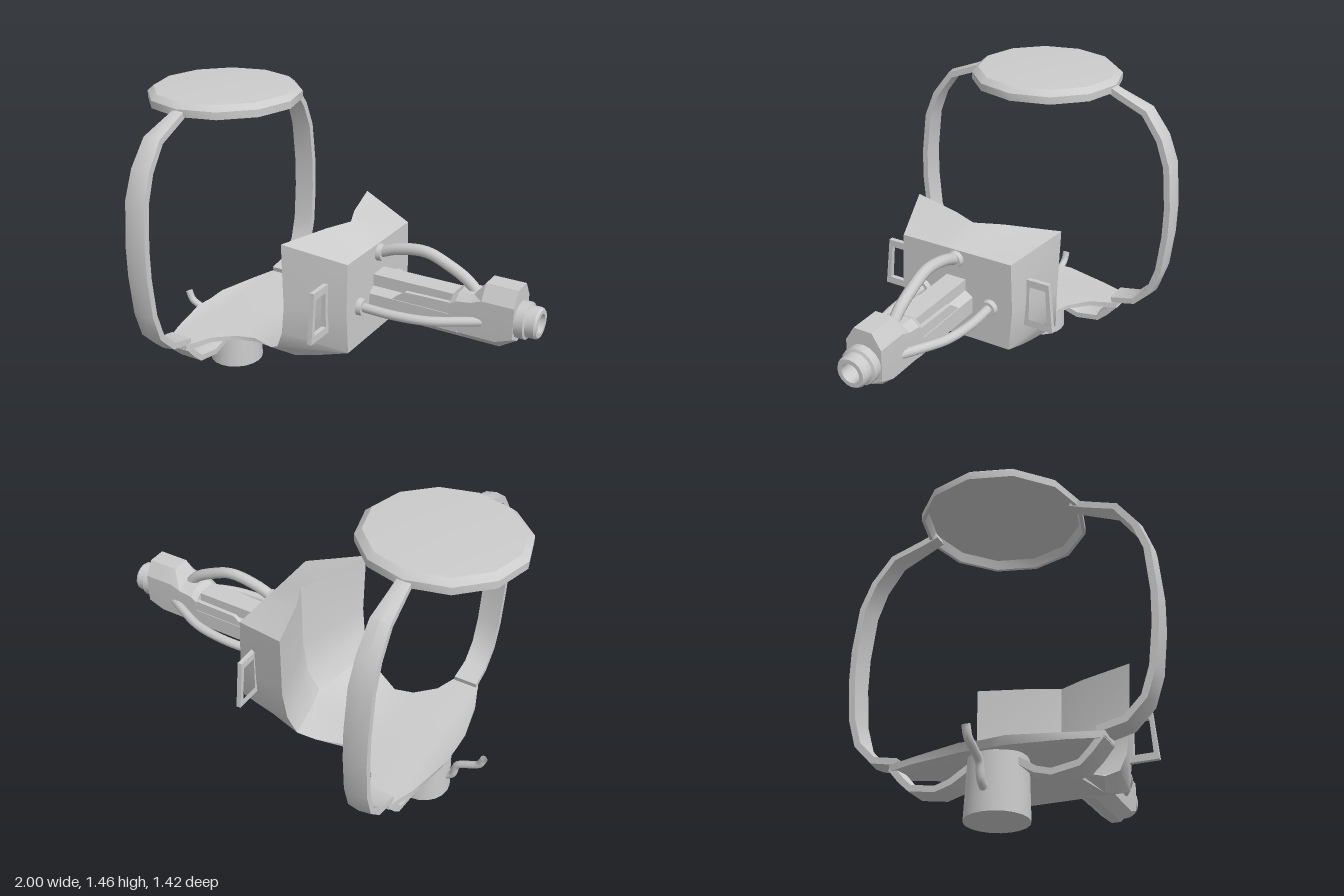
import * as THREE from 'three';
import { toCreasedNormals } from 'three/addons/utils/BufferGeometryUtils.js';

const material = new THREE.MeshStandardMaterial({ color: 0xcccccc });
const doubleMaterial = new THREE.MeshStandardMaterial({ color: 0xcccccc, side: THREE.DoubleSide });
const CX = -0.635; // axis of pedestal, arms and canopy

// Skin rings of equal length; each ring is two facing rows (there and back), so caps are strips
function loft(rings, crease = 0.6) {
  const n = rings[0].length, pos = rings.flat(2), idx = [];
  const quad = (a, b, c, d) => idx.push(a, b, c, a, c, d);
  for (let r = 0; r < rings.length - 1; r++)
    for (let i = 0; i < n; i++) {
      const j = (i + 1) % n;
      quad(r * n + i, r * n + j, (r + 1) * n + j, (r + 1) * n + i);
    }
  const last = (rings.length - 1) * n;
  for (let i = 0; i < n / 2 - 1; i++) {
    quad(n - 1 - i, n - 2 - i, i + 1, i);
    quad(last + i, last + i + 1, last + n - 2 - i, last + n - 1 - i);
  }
  // turn the faces outward
  const v = (k) => new THREE.Vector3().fromArray(pos, k * 3);
  let volume = 0;
  for (let i = 0; i < idx.length; i += 3) volume += v(idx[i]).dot(v(idx[i + 1]).cross(v(idx[i + 2])));
  if (volume < 0) idx.reverse();
  const g = new THREE.BufferGeometry();
  g.setAttribute('position', new THREE.Float32BufferAttribute(pos, 3));
  g.setIndex(idx);
  return toCreasedNormals(g, crease);
}

// Flat band following [z, y, halfWidth] points, side = +1 or -1
function band(points, thickness, side) {
  return loft(points.map(([z, y, h], i) => {
    const a = points[Math.max(i - 1, 0)], b = points[Math.min(i + 1, points.length - 1)];
    const len = Math.hypot(b[0] - a[0], b[1] - a[1]);
    const nz = -(b[1] - a[1]) / len, ny = (b[0] - a[0]) / len;
    const at = (dx, o) => [CX + dx, y + ny * o, side * (z + nz * o)];
    return [at(-h, 0), at(0, 0.008), at(h, 0), at(h, -thickness), at(0, -thickness), at(-h, -thickness)];
  }));
}

// Symmetric section along x, half outline given as [z, y] from top to bottom
const section = (x, half) => [
  ...half.map(([z, y]) => [x, y, z]),
  ...half.slice().reverse().map(([z, y]) => [x, y, -z]),
];

function pipe(points, radius) {
  const curve = new THREE.CatmullRomCurve3(points.map((p) => new THREE.Vector3(...p)));
  return new THREE.TubeGeometry(curve, 18, radius, 10);
}

export function createModel() {
  const model = new THREE.Group();
  const add = (name, geometry, mat = material) => {
    const mesh = new THREE.Mesh(geometry, mat);
    mesh.name = name;
    model.add(mesh);
    return mesh;
  };
  const lathe = (profile, sides) =>
    toCreasedNormals(new THREE.LatheGeometry(profile.map((p) => new THREE.Vector2(...p)), sides), 0.6);

  // Pedestal with a bent pipe at its back
  add('pedestal', new THREE.CylinderGeometry(0.125, 0.135, 0.26, 20)).position.set(CX, 0.13, 0);
  add('pedestalPipe', pipe([[-0.74, 0.09, 0], [-0.785, 0.12, 0], [-0.805, 0.19, 0], [-0.855, 0.22, 0],
    [-0.91, 0.25, 0], [-0.93, 0.295, 0]], 0.018), doubleMaterial);

  // Hollow canopy
  add('canopy', lathe([[0, 1.43], [0.335, 1.42], [0.35, 1.38], [0.365, 1.38], [0.365, 1.415],
    [0.335, 1.44], [0, 1.457]], 12), doubleMaterial).position.x = CX;

  // Floor sweeping up into the shield:
  // upper edge x, y, halfWidth | upper centre x, y | lower x, y, halfWidth
  const stations = [
    [-0.79, 0.29, 0.10, -0.79, 0.285, -0.775, 0.255, 0.10],
    [-0.74, 0.285, 0.33, -0.74, 0.275, -0.74, 0.255, 0.33],
    [-0.69, 0.29, 0.47, -0.69, 0.275, -0.69, 0.26, 0.47],
    [-0.58, 0.29, 0.47, -0.58, 0.275, -0.58, 0.26, 0.47],
    [-0.53, 0.285, 0.34, -0.53, 0.275, -0.53, 0.26, 0.34],
    [-0.44, 0.28, 0.255, -0.44, 0.275, -0.44, 0.26, 0.255],
    [-0.35, 0.28, 0.23, -0.35, 0.275, -0.35, 0.262, 0.23],
    [-0.21, 0.305, 0.30, -0.16, 0.285, -0.1, 0.275, 0.26],
    [-0.14, 0.35, 0.345, -0.05, 0.315, 0.04, 0.32, 0.27],
    [-0.10, 0.44, 0.365, 0.01, 0.40, 0.2, 0.38, 0.28],
    [-0.08, 0.58, 0.375, 0.04, 0.56, 0.2, 0.58, 0.295],
    [-0.08, 0.893, 0.385, 0.05, 0.893, 0.2, 0.82, 0.285],
  ];
  const row = [-1, -0.33, 0, 0.33, 1];
  add('floorAndShield', loft(stations.map(([ex, ey, ew, cx, cy, lx, ly, lw]) => [
    ...row.map((t) => {
      const k = t === 0 ? 0 : Math.abs(t) === 1 ? 1 : 0.42;
      return [cx + (ex - cx) * k, cy + (ey - cy) * k, t * ew];
    }),
    ...row.slice().reverse().map((t) => [lx, ly, t * lw]),
  ]), 0.5));

  // Gun body and its raised head
  const rear = [[0.05, 0.682], [0.05, 0.625], [0.088, 0.60], [0.088, 0.52], [0.025, 0.47]];
  add('gunBody', loft([section(0.19, rear), section(0.64, rear)], 0.3));
  const head = (x, top, topZ, shoulder, bottom) => section(x,
    [[topZ, top], [0.088, shoulder], [0.088, 0.6], [0.085, Math.max(0.52, bottom + 0.03)], [0.025, bottom]]);
  add('gunHead', loft([
    head(0.6, 0.683, 0.05, 0.65, 0.47), head(0.63, 0.702, 0.05, 0.67, 0.47),
    head(0.7, 0.705, 0.05, 0.68, 0.47), head(0.75, 0.77, 0.045, 0.70, 0.47),
    head(0.82, 0.77, 0.045, 0.70, 0.47), head(0.9, 0.77, 0.045, 0.70, 0.52),
  ], 0.3));

  // Hollow muzzle
  const muzzle = add('muzzle', lathe([[0.085, 0], [0.085, 0.045], [0.072, 0.05], [0.072, 0.09], [0.065, 0.1],
    [0.045, 0.1], [0.04, 0.03], [0, 0.03]], 16), doubleMaterial);
  muzzle.rotation.z = -Math.PI / 2;
  muzzle.position.set(0.895, 0.617, 0);

  // Upper hose
  const flange = (name, y, z) => {
    const f = add(name, new THREE.CylinderGeometry(0.038, 0.042, 0.03, 12));
    f.rotation.z = -Math.PI / 2;
    f.position.set(0.21, y, z);
  };
  flange('upperFlange', 0.775, 0);
  add('upperHose', pipe([[0.2, 0.775, 0], [0.3, 0.812, 0], [0.44, 0.828, 0], [0.55, 0.79, 0],
    [0.65, 0.735, 0], [0.71, 0.67, 0]], 0.027));

  for (const [side, label] of [[1, 'left'], [-1, 'right']]) {
    // Tall arm holding the canopy, and the brace under the floor
    add(label + 'Arm', band([[0.44, 0.285, 0.058], [0.56, 0.312, 0.055], [0.645, 0.4, 0.055], [0.685, 0.53, 0.055],
      [0.703, 0.72, 0.055], [0.703, 0.87, 0.055], [0.68, 1.08, 0.054], [0.63, 1.21, 0.05], [0.54, 1.33, 0.045],
      [0.4, 1.385, 0.034], [0.33, 1.415, 0.03]].reverse(), 0.03, side));
    add(label + 'Brace', band([[0.1, 0.245, 0.055], [0.19, 0.185, 0.06], [0.25, 0.167, 0.06], [0.36, 0.185, 0.06],
      [0.40, 0.225, 0.06], [0.45, 0.285, 0.058]], 0.028, side));

    // Side hose
    flange(label + 'Flange', 0.575, side * 0.18);
    add(label + 'Hose', pipe([[0.2, 0.575, side * 0.18], [0.38, 0.577, side * 0.185], [0.54, 0.583, side * 0.165],
      [0.66, 0.59, side * 0.115], [0.75, 0.595, side * 0.07]], 0.022));

    // Sloped panel beside the gun body
    const panel = new THREE.Shape([[0.3, 0.59], [0.38, 0.65], [0.62, 0.655], [0.62, 0.59]]
      .map((p) => new THREE.Vector2(...p)));
    add(label + 'Panel', new THREE.ExtrudeGeometry(panel, { depth: 0.02, bevelEnabled: false }))
      .position.z = side * 0.076 - 0.01;

    // Grab handle: a plate with a window
    const handle = new THREE.Shape([[0.29, 0.72], [0.43, 0.72], [0.457, 0.48], [0.31, 0.48]]
      .map(([z, y]) => new THREE.Vector2(-side * z, y)));
    handle.holes.push(new THREE.Path([[0.335, 0.685], [0.415, 0.685], [0.43, 0.515], [0.335, 0.515]]
      .map(([z, y]) => new THREE.Vector2(-side * z, y))));
    const grip = add(label + 'Handle', new THREE.ExtrudeGeometry(handle, { depth: 0.022, bevelEnabled: false }));
    grip.rotation.y = Math.PI / 2;
    grip.position.x = 0.095;
  }
  return model;
}
